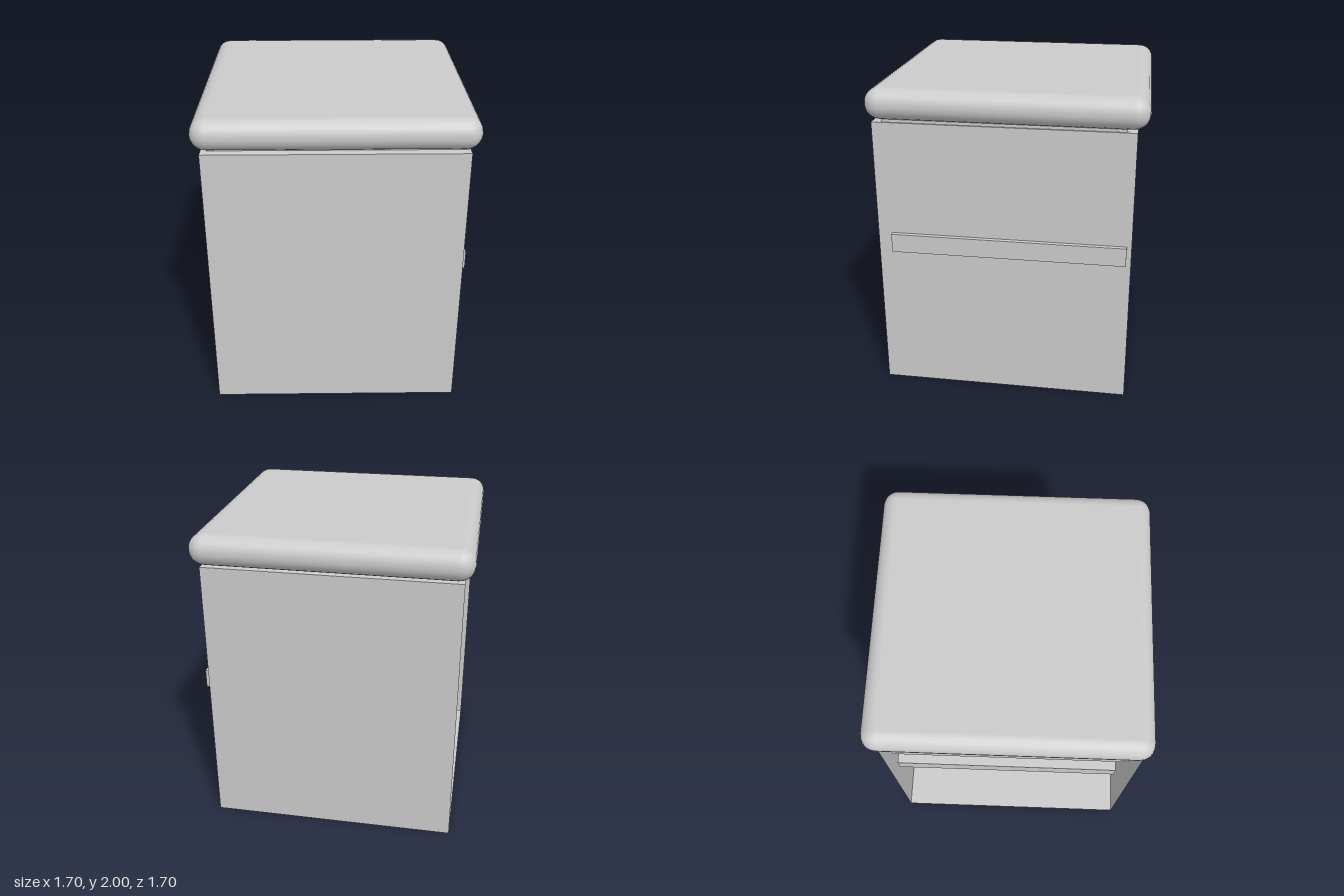
import * as THREE from 'three';
import { RoundedBoxGeometry } from 'three/addons/geometries/RoundedBoxGeometry.js';

const grey = new THREE.MeshStandardMaterial({ color: 0xcccccc });
const greyThin = new THREE.MeshStandardMaterial({ color: 0xcccccc, side: THREE.DoubleSide });

// Places a geometry of unit size so that it spans the two given corners.
function span(name, geometry, min, max, material = grey) {
  const mesh = new THREE.Mesh(geometry, material);
  mesh.name = name;
  mesh.scale.set(...max.map((v, i) => v - min[i]));
  mesh.position.set(...max.map((v, i) => (v + min[i]) / 2));
  return mesh;
}

// Unit box with thin walls and no wall on its -x side.
function openBox() {
  const box = new THREE.BoxGeometry(1, 1, 1);
  const index = Array.from(box.index.array);
  index.splice(6, 6);
  box.setIndex(index);
  box.clearGroups();
  return box;
}

export function createModel() {
  const model = new THREE.Group();
  model.name = 'bedsideCabinet';

  // Thin-walled carcass, open on one side
  model.add(span('cabinetBody', openBox(), [-0.795, 0, -0.78], [0.79, 1.79, 0.81], greyThin));

  // Shelf, whose far end pokes out through the closed side
  model.add(span('shelf', new THREE.BoxGeometry(1, 1, 1), [-0.72, 0.95, -0.75], [0.82, 1.07, 0.72]));

  // Block under the top that carries the lid
  model.add(span('topBlock', new THREE.BoxGeometry(1, 1, 1), [-0.76, 1.48, -0.72], [0.78, 1.81, 0.75]));

  // Rounded, overhanging lid
  const lid = new THREE.Mesh(new RoundedBoxGeometry(1.7, 0.195, 1.7, 3, 0.095), grey);
  lid.name = 'lid';
  lid.position.y = 1.9025;
  model.add(lid);

  return model;
}
